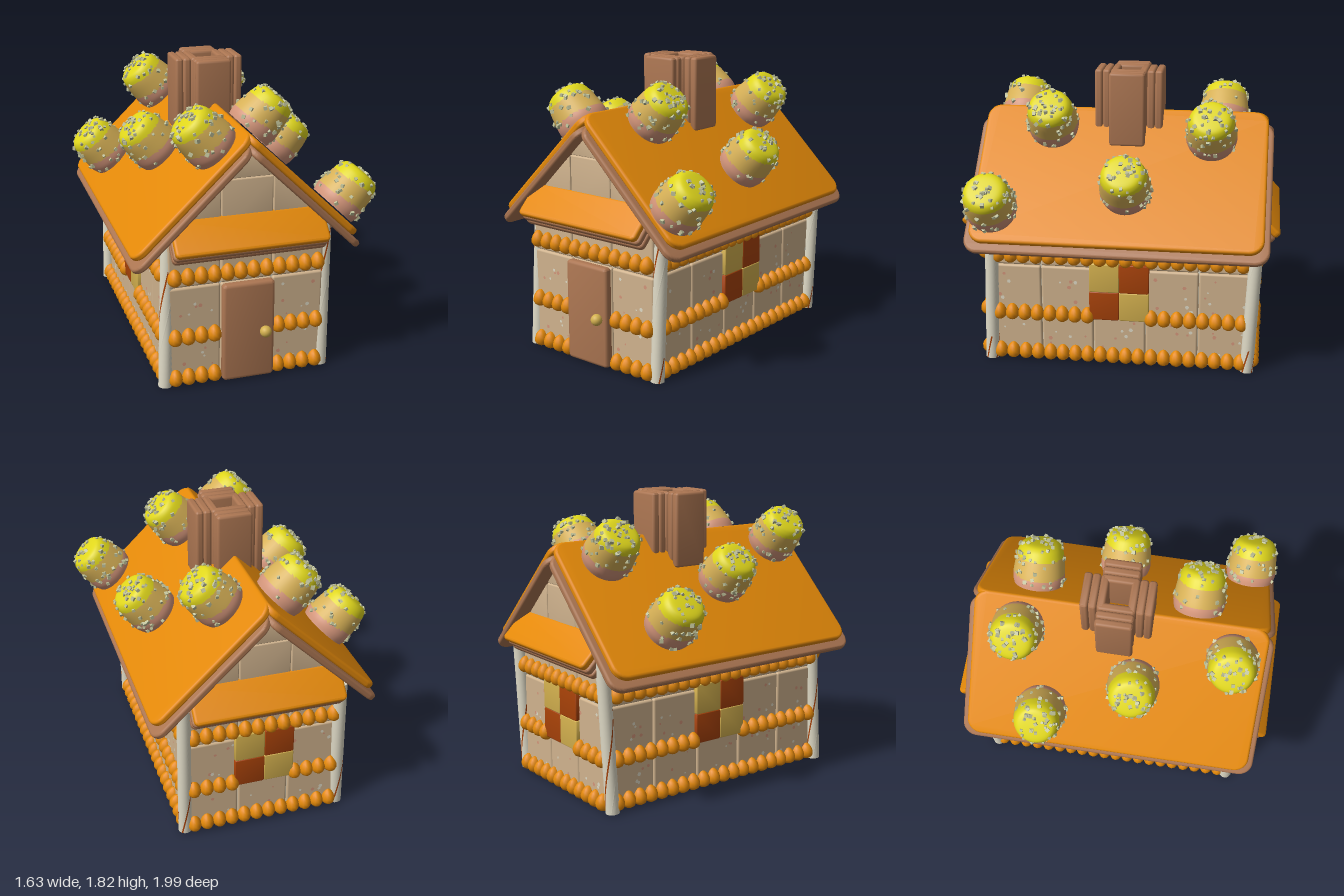
import * as THREE from 'three';
import { mergeGeometries, toCreasedNormals } from 'three/addons/utils/BufferGeometryUtils.js';
import { RoundedBoxGeometry } from 'three/addons/geometries/RoundedBoxGeometry.js';

const material = (name, color) => new THREE.MeshStandardMaterial({ name, color });
const M = {
  biscuit: material('biscuit', 0xd0b38e),
  icing: material('icing', 0xdfdac6),
  orange: material('orange', 0xe48908),
  chocolate: material('chocolate', 0xac7652),
  amber: material('amber', 0xd3b04e),
  caramel: material('caramel', 0xa84208),
  pink: material('pink', 0xd3957a),
  tan: material('tan', 0xd6b056),
  lime: material('lime', 0xdfd61c),
  sugar: material('sugar', 0xbfc199),
};

let seed = 7;
const random = () => (seed = (seed * 16807) % 2147483647) / 2147483647;

function add(parent, name, geometry, mat, x = 0, y = 0, z = 0) {
  const mesh = new THREE.Mesh(geometry, mat);
  mesh.name = name;
  mesh.position.set(x, y, z);
  parent.add(mesh);
  return mesh;
}

function group(parent, name) {
  const g = new THREE.Group();
  g.name = name;
  parent.add(g);
  return g;
}

// Extruded shape with softened rims, centred in depth
function extrude(shape, depth, bevel) {
  const g = new THREE.ExtrudeGeometry(shape, {
    depth: depth - 2 * bevel, bevelThickness: bevel, bevelSize: bevel,
    bevelOffset: -bevel, bevelSegments: 3, curveSegments: 8,
  });
  g.translate(0, 0, bevel - depth / 2);
  return toCreasedNormals(g, 0.7);
}

// Rounded rectangle slab in the xy plane
function slab(w, h, t, r, bevel = t * 0.35) {
  const a = w / 2, b = h / 2, s = new THREE.Shape();
  s.moveTo(-a + r, -b);
  s.lineTo(a - r, -b).absarc(a - r, -b + r, r, -Math.PI / 2, 0);
  s.lineTo(a, b - r).absarc(a - r, b - r, r, 0, Math.PI / 2);
  s.lineTo(-a + r, b).absarc(-a + r, b - r, r, Math.PI / 2, Math.PI);
  s.lineTo(-a, -b + r).absarc(-a + r, -b + r, r, Math.PI, Math.PI * 1.5);
  return extrude(s, t, bevel);
}

const flatSlab = (...args) => slab(...args).rotateX(-Math.PI / 2);

// Splits a geometry's triangles into material groups by a rule on (centroid, index)
function paint(geometry, count, rule) {
  const old = geometry.index.array, p = geometry.attributes.position, c = new THREE.Vector3();
  const lists = Array.from({ length: count }, () => []);
  for (let i = 0; i < old.length; i += 3) {
    c.set(0, 0, 0);
    for (let k = 0; k < 3; k++) c.add(new THREE.Vector3().fromBufferAttribute(p, old[i + k]));
    lists[rule(c.divideScalar(3), i / 3)].push(old[i], old[i + 1], old[i + 2]);
  }
  geometry.setIndex(lists.flat());
  let start = 0;
  lists.forEach((l, m) => { geometry.addGroup(start, l.length, m); start += l.length; });
  return geometry;
}

// Small egg-shaped sweet for the wall rows
function beadGeometry() {
  const g = new THREE.SphereGeometry(1, 12, 8), p = g.attributes.position;
  for (let i = 0; i < p.count; i++) {
    const k = 1 - 0.18 * p.getY(i);
    p.setXYZ(i, p.getX(i) * 0.043 * k, p.getY(i) * 0.054, p.getZ(i) * 0.052 * k);
  }
  g.computeVertexNormals();
  return g;
}

// One wall facing +z: tiles, speckles, rows of sweets, and a window or the door
function wall(house, name, cols, width, dist, turn, z, beadCount, gap, door) {
  const g = group(house, name);
  g.position.set(-0.02, 0, z);
  g.rotation.y = turn;
  const tw = width / cols, tiles = [], beads = [], pale = [], dark = [];
  for (let r = 0; r < 3; r++) for (let c = 0; c < cols; c++) {
    const x = (c + 0.5) * tw - width / 2, y = 0.178 + r * 0.316;
    tiles.push(new RoundedBoxGeometry(tw - 0.003, 0.313, 0.05, 2, 0.014).translate(x, y, dist - 0.025));
    if (r < 2) for (let k = 0; k < 6; k++) {
      const dot = new THREE.CircleGeometry(0.006 + random() * 0.008, 6)
        .translate(x + (random() - 0.5) * tw * 0.8, y + (random() - 0.5) * 0.24, dist + 0.001);
      (k % 2 ? pale : dark).push(dot);
    }
  }
  [0.065, 0.335, 0.725].forEach((y, row) => {
    for (let i = 0; i < beadCount; i++) {
      const x = (i - (beadCount - 1) / 2) * 0.081;
      const blocked = Math.abs(x) < gap && (row === 1 || (door && row === 0));
      if (!blocked) beads.push(beadGeometry().translate(x, y, dist + 0.003));
    }
  });
  add(g, 'wallTiles', mergeGeometries(tiles), M.biscuit);
  add(g, 'paleSpeckles', mergeGeometries(pale), M.icing);
  add(g, 'pinkSpeckles', mergeGeometries(dark), M.pink);
  add(g, 'sweetRows', mergeGeometries(beads), M.orange);
  if (door) {
    add(g, 'door', slab(0.325, 0.635, 0.06, 0.025), M.chocolate, 0, 0.338, dist + 0.027);
    add(g, 'doorKnob', new THREE.SphereGeometry(0.036, 20, 14), M.amber, 0.1, 0.33, dist + 0.073);
  } else {
    for (const i of [-1, 1]) for (const j of [-1, 1])
      add(g, 'windowPane', slab(0.189, 0.189, 0.05, 0.012, 0.006), i === j ? M.caramel : M.amber,
        i * 0.094, 0.502 + j * 0.094, dist);
  }
  return g;
}

// Gable biscuits: a centre square, a peak and two side triangles
function gable(parent, dist) {
  const pieces = [
    [[-0.158, 0.97], [0.158, 0.97], [0.158, 1.295], [-0.158, 1.295]],
    [[-0.158, 1.299], [0.158, 1.299], [0, 1.46]],
    [[0.162, 0.97], [0.49, 0.97], [0.162, 1.295]],
    [[-0.162, 0.97], [-0.162, 1.295], [-0.49, 0.97]],
  ];
  for (const pts of pieces) {
    const shape = new THREE.Shape(pts.map(([x, y]) => new THREE.Vector2(x, y)));
    add(parent, 'gableTile', extrude(shape, 0.05, 0.008), M.biscuit, 0, 0, dist - 0.025);
  }
}

// Sloped ledge above each gable wall, orange on two chocolate layers
function ledge(parent) {
  const g = group(parent, 'gableLedge');
  g.position.set(0, 0.92, 1.0);
  g.rotation.x = Math.PI / 4;
  add(g, 'ledgeTop', flatSlab(0.94, 0.235, 0.045, 0.03), M.orange, 0, -0.0225, -0.1175);
  for (const i of [0, 1])
    add(g, 'ledgeLayer', flatSlab(0.95, 0.23, 0.043, 0.03), M.chocolate, 0, -0.067 - i * 0.043, -0.115);
}

// Candy post between two points, with four steep twisted stripes
function post(parent, a, b) {
  const dir = b.clone().sub(a), len = dir.length(), sides = 28, rows = 24;
  const geo = new THREE.CylinderGeometry(0.042, 0.042, len, sides, rows);
  const p = geo.attributes.position, v = new THREE.Vector3(), up = new THREE.Vector3(0, 1, 0);
  paint(geo, 2, (c, tri) => (tri < sides * rows * 2 && Math.floor(tri / (rows * 2)) % 7 === 0 ? 1 : 0));
  for (let i = 0; i < p.count; i++) {
    v.fromBufferAttribute(p, i).applyAxisAngle(up, p.getY(i) * 5);
    p.setXYZ(i, v.x, v.y, v.z);
  }
  geo.computeVertexNormals();
  const m = add(parent, 'cornerPost', geo, [M.icing, M.caramel]);
  m.position.copy(a).add(b).multiplyScalar(0.5);
  m.quaternion.setFromUnitVectors(up, dir.normalize());
}

// Big sugared gumdrop: banded body plus scattered sugar grains
const dropCurve = new THREE.SplineCurve([[0.15, 0], [0.16, 0.05], [0.153, 0.13], [0.142, 0.2],
  [0.125, 0.245], [0.09, 0.268], [0, 0.275]].map(([x, y]) => new THREE.Vector2(x, y)));
function gumdrop(parent, x, z) {
  const g = group(parent, 'gumdrop');
  g.position.set(x, 0.008, z);
  const body = paint(new THREE.LatheGeometry(dropCurve.getPoints(36), 40), 3, (c) => {
    const t = c.y / 0.275 - c.x * 0.5;
    return t < 0.3 ? 0 : t < 0.72 ? 1 : 2;
  });
  add(g, 'gumdropBody', body, [M.pink, M.tan, M.lime]);
  const grains = [];
  for (let i = 0; i < 75; i++) {
    const q = dropCurve.getPointAt(0.05 + random() * 0.9), a = random() * Math.PI * 2, s = 0.014 + random() * 0.01;
    grains.push(new THREE.BoxGeometry(s, s, s).rotateX(random() * 3).rotateZ(random() * 3)
      .translate(q.x * Math.cos(a), q.y, q.x * Math.sin(a)));
  }
  add(g, 'sugarGrains', mergeGeometries(grains), M.sugar);
}

export function createModel() {
  const house = new THREE.Group();
  house.name = 'gingerbreadHouse';

  // Icing core shows in the joints between tiles
  add(house, 'icingCore', new THREE.BoxGeometry(0.94, 0.93, 1.65), M.icing, -0.02, 0.49, -0.005);
  const floor = [];
  for (let i = 0; i < 3; i++) for (let j = 0; j < 5; j++)
    floor.push(new RoundedBoxGeometry(0.317, 0.04, 0.329, 2, 0.014).translate((i - 1) * 0.32 - 0.02, 0.038, (j - 2) * 0.332 - 0.01));
  add(house, 'floorTiles', mergeGeometries(floor), M.biscuit);

  // Walls
  const front = wall(house, 'frontWall', 3, 0.97, 0.842, 0, 0, 12, 0.18, true);
  const back = wall(house, 'backWall', 3, 0.97, 0.842, Math.PI, 0, 12, 0.2, false);
  wall(house, 'leftWall', 5, 1.66, 0.492, Math.PI / 2, -0.01, 20, 0.2, false);
  wall(house, 'rightWall', 5, 1.66, 0.492, -Math.PI / 2, -0.01, 20, 0.2, false);
  for (const g of [front, back]) { gable(g, 0.842); ledge(g); }

  // Corner posts: bottom x, z and top x, z
  for (const [x0, z0, x1, z1] of [[-0.525, 0.82, -0.49, 0.79], [0.475, 0.82, 0.487, 0.79],
    [-0.525, -0.82, -0.495, -0.86], [0.48, -0.82, 0.485, -0.86]])
    post(house, new THREE.Vector3(x0, 0.01, z0), new THREE.Vector3(x1, 0.95, z1));

  // Roof halves, each in a frame with x down the slope and y outward
  const drops = {
    1: [[0.24, -0.55], [0.52, -0.05], [0.2, 0.45], [0.63, 0.765]],
    '-1': [[-0.25, -0.61], [-0.63, -0.43], [-0.44, 0.125], [-0.26, 0.695]],
  };
  for (const s of [1, -1]) {
    const g = group(house, s > 0 ? 'leftRoof' : 'rightRoof');
    g.position.set(-0.02, 1.57, 0);
    g.rotation.set(0, s > 0 ? 0 : Math.PI, 0.015 - Math.PI / 4);
    add(g, 'roofTop', flatSlab(0.985, 1.8, 0.045, 0.09), M.orange, 0.4925, -0.0225, 0);
    add(g, 'roofUnderlayer', flatSlab(0.98, 1.87, 0.043, 0.09), M.chocolate, 0.545, -0.0665, 0);
    for (const [x, z] of drops[s]) gumdrop(g, (Math.abs(x + 0.02) - 0.1) * Math.SQRT2, z * s);
  }

  // Chimney: four stacks of three planks around an open flue
  const chimney = group(house, 'chimney');
  chimney.position.set(-0.025, 1.6, -0.02);
  for (let side = 0; side < 4; side++) {
    const stack = group(chimney, 'chimneyStack');
    stack.rotation.y = side * Math.PI / 2;
    for (let i = 0; i < 3; i++)
      add(stack, 'chimneyPlank', slab(0.224, 0.465, 0.05, 0.02), M.chocolate, 0, 0, 0.09 + i * 0.05);
  }
  return house;
}
